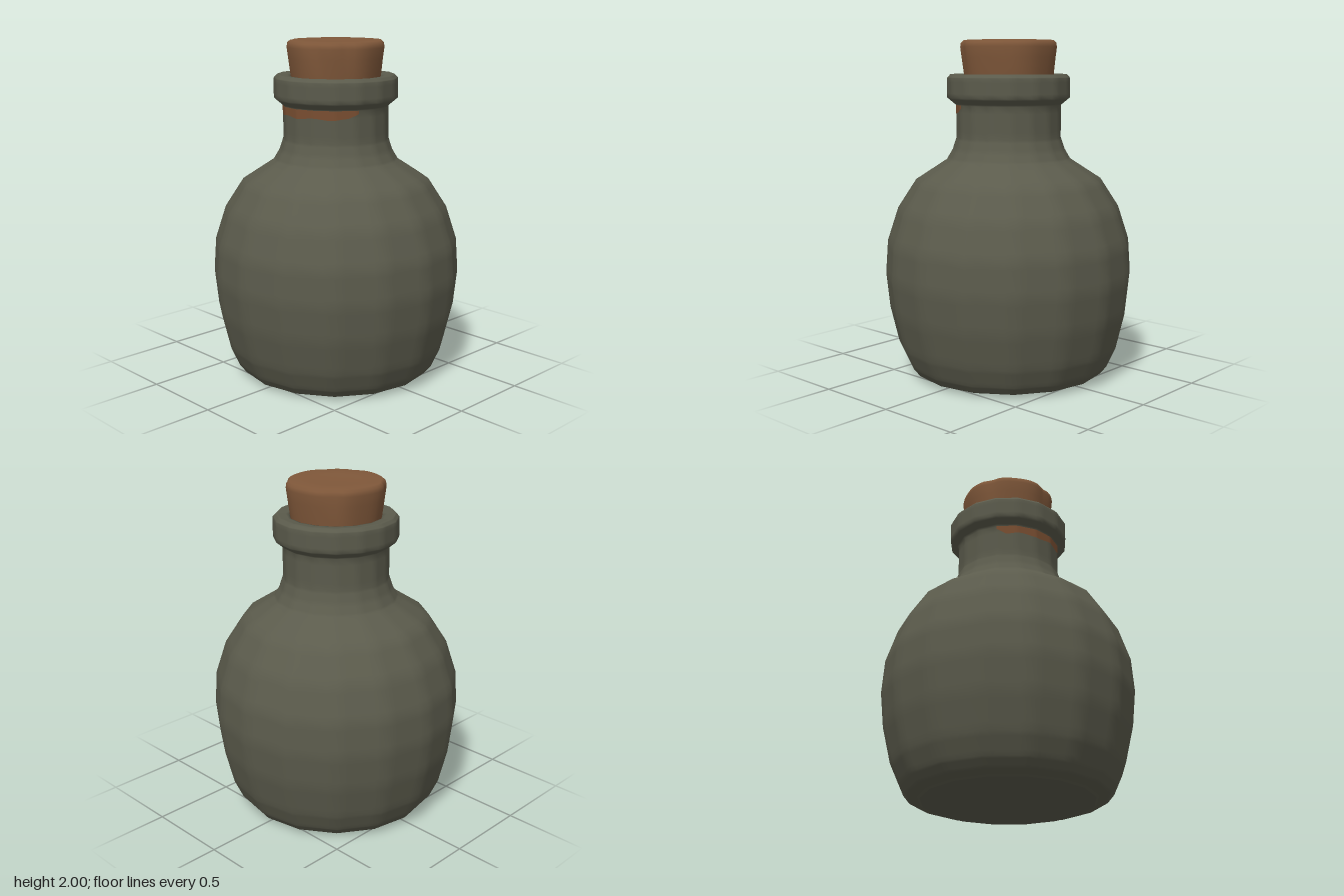
import * as THREE from 'three';
import { mergeVertices } from 'three/addons/utils/BufferGeometryUtils.js';

const SIDES = 16;
const STEP = (Math.PI * 2) / SIDES;
const SOFT = 0.22; // share of each facet taken by a softened edge

// radius factor of the 16-sided outline at a given angle
function facet(angle) {
  const off = angle - (Math.floor(angle / STEP) + 0.5) * STEP;
  return Math.cos(STEP / 2) / Math.cos(off);
}

// add points close to every corner so that facets shade flat with soft edges
function soften(points) {
  const out = [];
  points.forEach(([r, y], i) => {
    out.push(new THREE.Vector2(r, y));
    const next = points[i + 1];
    if (!next) return;
    for (const t of [SOFT, 1 - SOFT]) {
      out.push(new THREE.Vector2(r + (next[0] - r) * t, y + (next[1] - y) * t));
    }
  });
  return out;
}

// weld the seam and recompute smooth normals
function weld(geometry) {
  geometry.deleteAttribute('uv');
  geometry.deleteAttribute('normal');
  const welded = mergeVertices(geometry, 1e-5);
  welded.computeVertexNormals();
  return welded;
}

// lathe whose rings follow the faceted outline
function facetedLathe(profile) {
  const points = soften(profile);
  const geometry = new THREE.LatheGeometry(points, SIDES * 3);
  const pos = geometry.attributes.position;
  const shift = [0, SOFT, 1 - SOFT];
  for (let i = 0; i < pos.count; i++) {
    const column = Math.floor(i / points.length) % (SIDES * 3);
    const angle = (Math.floor(column / 3) + shift[column % 3]) * STEP;
    const p = points[i % points.length];
    const r = p.x * facet(angle + 1e-9);
    pos.setXYZ(i, r * Math.sin(angle), p.y, r * Math.cos(angle));
  }
  return weld(geometry);
}

// tapered stopper with an uneven, chipped rim
function corkGeometry() {
  const profile = [
    [0.245, 1.68], [0.266, 1.8], [0.28, 1.9], [0.288, 1.96],
    [0.284, 1.985], [0.268, 2], [0.15, 1.997], [0, 1.993],
  ].map(([r, y]) => new THREE.Vector2(r, y));
  const geometry = new THREE.LatheGeometry(profile, 48);
  const pos = geometry.attributes.position;
  const chips = [[0.36, 0.014], [1.02, 0.012], [-0.97, 0.014], [-2.42, 0.014], [2.3, 0.008]];
  for (let i = 0; i < pos.count; i++) {
    const x = pos.getX(i), y = pos.getY(i), z = pos.getZ(i);
    const a = Math.atan2(x, z);
    const rim = THREE.MathUtils.smoothstep(y, 1.8, 1.97);
    let k = 1 + 0.008 * Math.sin(5 * a + 1) + 0.006 * Math.cos(9 * a);
    for (const [at, depth] of chips) {
      k -= (depth / 0.28) * rim * Math.exp(-(((a - at) / 0.12) ** 2));
    }
    pos.setXYZ(i, x * k, y, z * k);
  }
  return weld(geometry);
}

// thin wavy band hugging the front of the neck under the lip
function stainGeometry() {
  const from = -0.8, to = 1.22, count = 48;
  const verts = [], index = [];
  for (let i = 0; i <= count; i++) {
    const t = i / count;
    const a = from + (to - from) * t;
    const taper = Math.min(1, 0.35 + 7 * Math.min(t, 1 - t));
    const low = 1.62 - (0.048 + 0.005 * Math.sin(t * 19)) * taper;
    const r = 0.312 * facet(a) + 0.004;
    verts.push(r * Math.sin(a), low, r * Math.cos(a), r * Math.sin(a), 1.622, r * Math.cos(a));
    if (i < count) {
      const k = i * 2;
      index.push(k, k + 2, k + 1, k + 1, k + 2, k + 3);
    }
  }
  const geometry = new THREE.BufferGeometry();
  geometry.setAttribute('position', new THREE.Float32BufferAttribute(verts, 3));
  geometry.setIndex(index);
  geometry.computeVertexNormals();
  return geometry;
}

export function createModel() {
  const material = (name, color) => {
    const m = new THREE.MeshStandardMaterial({ color });
    m.name = name;
    return m;
  };
  const clay = material('dark olive clay', 0x5b5b4c);
  const corkBrown = material('cork brown', 0x80583a);
  const stainBrown = material('stain brown', 0x794e31);

  const group = new THREE.Group();
  group.name = 'corkedBottle';
  const add = (name, geometry, mat) => {
    const mesh = new THREE.Mesh(geometry, mat);
    mesh.name = name;
    group.add(mesh);
  };

  // round belly, shoulder, neck and lip in one outline
  add('bottle', facetedLathe([
    [0, 0.005], [0.5, 0.005], [0.58, 0.025], [0.62, 0.075], [0.672, 0.19],
    [0.722, 0.4], [0.744, 0.61], [0.73, 0.81], [0.665, 1.01], [0.555, 1.18],
    [0.37, 1.3], [0.335, 1.36], [0.312, 1.43], [0.312, 1.62],
    [0.366, 1.665], [0.366, 1.78], [0.345, 1.803], [0.275, 1.795], [0.25, 1.72],
  ]), clay);
  // flat foot touching the ground
  const foot = new THREE.CylinderGeometry(0.52, 0.5, 0.012, SIDES);
  foot.translate(0, 0.006, 0);
  add('foot', foot, clay);
  add('cork', corkGeometry(), corkBrown);
  add('neckStain', stainGeometry(), stainBrown);
  return group;
}
